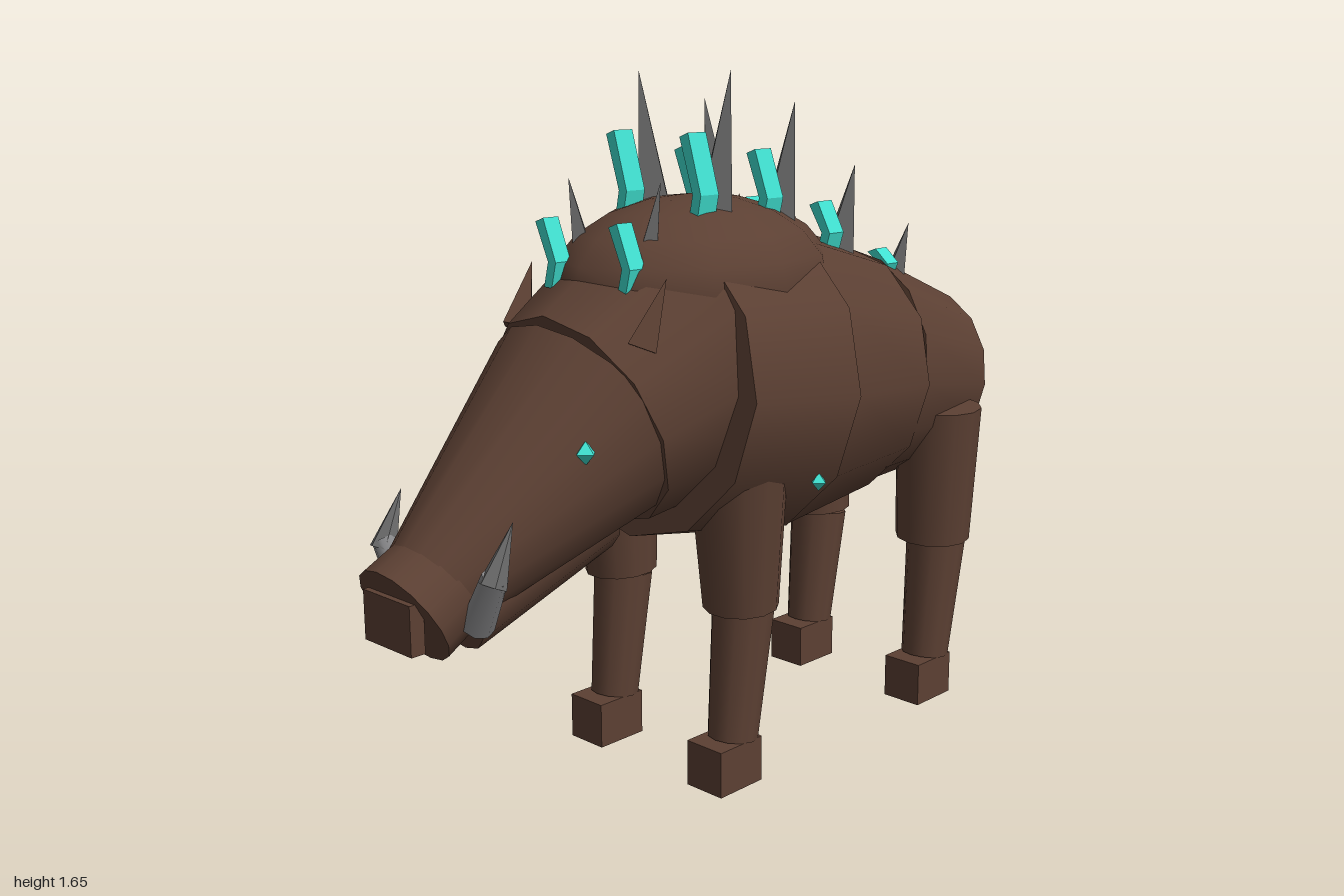
import * as THREE from 'three';

const mat = (name, color) => {
  const m = new THREE.MeshStandardMaterial({ color });
  m.name = name;
  return m;
};

export function createModel() {
  const root = new THREE.Group();
  root.name = 'spikedBoar';
  const hide = mat('brown hide', 0x5c4033);
  const stone = mat('grey spike', 0x696969);
  const ivory = mat('grey tusk', 0x88888a);
  const crystal = mat('teal crystal', 0x40e0d0);

  const add = (name, geo, material, pos = [0, 0, 0]) => {
    const mesh = new THREE.Mesh(geo, material);
    mesh.name = name;
    mesh.position.set(...pos);
    root.add(mesh);
    return mesh;
  };
  const flat = (geo) => {
    const g = geo.toNonIndexed();
    g.computeVertexNormals();
    return g;
  };
  // Tapered round part running from point a to point b
  const limb = (name, a, b, ra, rb, material = hide, sides = 12) => {
    const from = new THREE.Vector3(...a), to = new THREE.Vector3(...b);
    const dir = to.clone().sub(from);
    let geo = new THREE.CylinderGeometry(rb, ra, dir.length(), sides);
    if (sides < 8) geo = flat(geo);
    const mesh = add(name, geo, material);
    mesh.position.copy(from).add(to).multiplyScalar(0.5);
    mesh.quaternion.setFromUnitVectors(new THREE.Vector3(0, 1, 0), dir.normalize());
    return mesh;
  };
  const box = (name, size, pos, material = hide) => add(name, new THREE.BoxGeometry(...size), material, pos);

  // Torso sections
  limb('rump', [0, 0.89, -0.42], [0, 0.825, -0.788], 0.318, 0.24, hide, 16);
  limb('belly', [0, 0.89, -0.42], [0, 0.926, -0.06], 0.325, 0.393);
  limb('chest', [0, 0.926, -0.06], [0, 0.955, 0.265], 0.395, 0.367);
  limb('neck', [0, 1.0, 0.17], [0, 0.89, 0.45], 0.335, 0.268);
  const hump = add('shoulderHump', new THREE.SphereGeometry(1, 12, 10), hide, [0, 1.17, 0.08]);
  hump.scale.set(0.29, 0.205, 0.38);

  // Head
  limb('head', [0, 0.9, 0.42], [0, 0.585, 0.9], 0.265, 0.108, hide, 16);
  limb('snout', [0, 0.62, 0.835], [0, 0.56, 0.94], 0.122, 0.126, hide, 16);
  limb('jaw', [0, 0.70, 0.45], [0, 0.54, 0.825], 0.12, 0.1);
  box('nosePlate', [0.16, 0.11, 0.035], [0, 0.555, 0.965]);

  // Paired parts
  for (const s of [1, -1]) {
    const side = s > 0 ? 'left' : 'right';
    limb(side + 'Ear', [s * 0.205, 1.08, 0.45], [s * 0.22, 1.225, 0.39], 0.045, 0, hide, 4);
    add(side + 'Eye', new THREE.OctahedronGeometry(0.026), crystal, [s * 0.2, 0.88, 0.61]);
    add(side + 'FlankGem', new THREE.OctahedronGeometry(0.022), crystal, [s * 0.338, 0.73, 0.02]);
    limb(side + 'TuskBase', [s * 0.115, 0.54, 0.84], [s * 0.19, 0.665, 0.85], 0.036, 0.028, ivory, 8);
    limb(side + 'TuskTip', [s * 0.187, 0.645, 0.855], [s * 0.19, 0.77, 0.8], 0.032, 0, stone, 6);

    // Front leg
    limb(side + 'FrontThigh', [s * 0.215, 0.84, 0.16], [s * 0.205, 0.43, 0.138], 0.12, 0.09);
    limb(side + 'FrontShin', [s * 0.205, 0.425, 0.13], [s * 0.205, 0.11, 0.165], 0.075, 0.061);
    box(side + 'FrontHoof', [0.11, 0.112, 0.14], [s * 0.205, 0.056, 0.193]);

    // Hind leg
    limb(side + 'HindThigh', [s * 0.22, 0.795, -0.607], [s * 0.205, 0.435, -0.616], 0.112, 0.098);
    limb(side + 'HindShin', [s * 0.205, 0.425, -0.633], [s * 0.205, 0.11, -0.597], 0.078, 0.062);
    box(side + 'HindHoof', [0.11, 0.112, 0.14], [s * 0.205, 0.056, -0.567]);
  }

  // Tail
  limb('tailBase', [0, 0.925, -0.825], [0.025, 0.79, -0.97], 0.022, 0.03, hide, 6);
  limb('tailTip', [0.025, 0.8, -0.965], [0.012, 0.67, -1.0], 0.029, 0, hide, 6);

  // Back spikes with bent crystals: z, spike base, spike tip, radius, crystal z, bottom, top
  const rows = [
    [0.335, 1.2, 1.42, 0.038, 0.41, 1.2, 1.335],
    [0.113, 1.29, 1.655, 0.06, 0.185, 1.33, 1.52],
    [-0.108, 1.27, 1.585, 0.056, -0.035, 1.32, 1.475],
    [-0.335, 1.19, 1.425, 0.052, -0.262, 1.235, 1.34],
    [-0.56, 1.1, 1.265, 0.038, -0.49, 1.155, 1.205],
  ];
  rows.forEach(([z, y0, y1, r, cz, c0, c1], i) => {
    for (const s of [1, -1]) {
      const dz = -s * 0.023;
      limb('backSpike' + i, [s * 0.093, y0, z], [s * 0.125, y1, z + dz], r, 0, stone, 4);
      // Crystal: extruded bent ribbon
      const x = s > 0 ? 0.112 : -0.103, h = c1 - c0, bend = h * 0.28, w = 0.013;
      const ribbon = new THREE.Shape();
      [[-w, -0.02], [w, -0.02], [w + 0.015, bend], [w - 0.025, h], [-w - 0.025, h - 0.01], [-w + 0.015, bend]]
        .forEach(([px, py], k) => (k ? ribbon.lineTo(px, py) : ribbon.moveTo(px, py)));
      const depth = 0.022 + r * 0.6;
      const geo = new THREE.ExtrudeGeometry(ribbon, { depth, bevelEnabled: false });
      add('backCrystal' + i, geo, crystal, [x, c0, cz + dz / 2 - depth / 2]);
    }
  });

  // Small bristles along the spine
  [[-0.06, 1.3], [-0.26, 1.25], [-0.48, 1.17], [-0.7, 1.08]].forEach(([z, y]) =>
    limb('spineBristle', [0, y, z], [0, y + 0.065, z - 0.015], 0.03, 0, hide, 4));

  return root;
}
